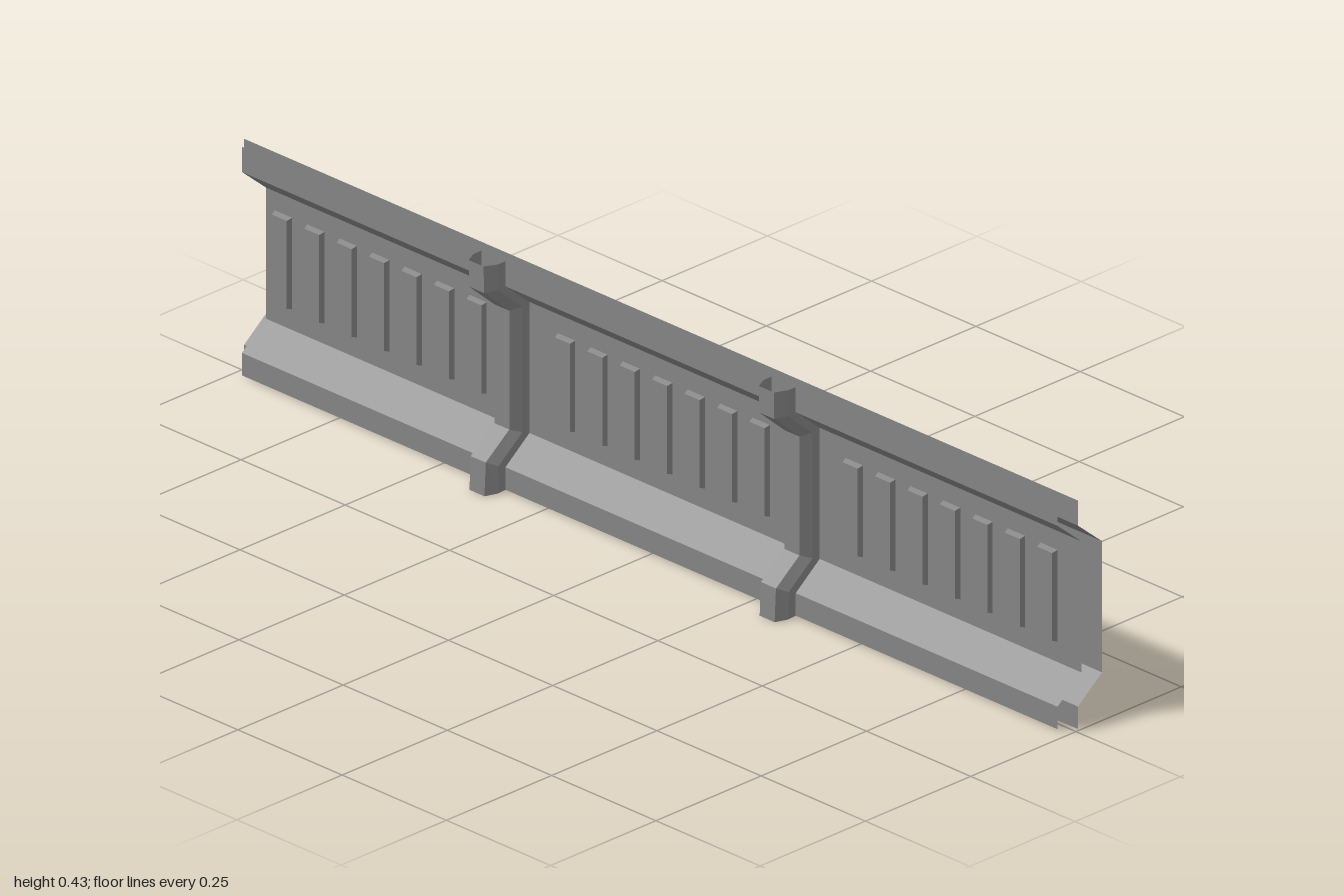
import * as THREE from 'three';

const grey = new THREE.MeshStandardMaterial({ color: 0x868686, flatShading: true, side: THREE.DoubleSide });

// Barrier profile from top to bottom as [y, z]: base face and raised rib face
const base = [[0.43, 0.02], [0.383, 0.02], [0.335, -0.037], [0.09, -0.037], [0.045, 0.02], [0.003, 0.02]];
const crest = [[0.43, 0.061], [0.38, 0.06], [0.327, 0], [0.105, 0], [0.062, 0.056], [0, 0.059]];

const ribCentres = [-0.377, 0.319];
const ribHalf = 0.029;

// Joins open cross-sections (listed left to right, top to bottom) into a surface
function loft(sections) {
  const pos = [];
  const tri = (...pts) => pts.forEach((p) => pos.push(...p));
  for (let i = 0; i < sections.length - 1; i++) {
    const s = sections[i], t = sections[i + 1];
    for (let j = 0; j < s.length - 1; j++) {
      tri(s[j], t[j], t[j + 1]);
      tri(s[j], t[j + 1], s[j + 1]);
    }
  }
  const g = new THREE.BufferGeometry();
  g.setAttribute('position', new THREE.Float32BufferAttribute(pos, 3));
  g.computeVertexNormals();
  return g;
}

// Folded sheet with the barrier profile
function sheet(x0, x1, dz) {
  return loft(base.map(([y, z]) => [[x0, y, z + dz], [x1, y, z + dz]]));
}

// Hollow rib that follows the profile, open at its ends, with chamfered front edges
function rib() {
  const front = 0.018, k = 0.45;
  return loft(base.map(([y, z], i) => {
    const [fy, fz] = crest[i];
    const my = y + (fy - y) * k, mz = z + (fz - z) * k;
    return [[-ribHalf, y, z], [-ribHalf, my, mz], [-front, fy, fz], [front, fy, fz], [ribHalf, my, mz], [ribHalf, y, z]];
  }));
}

// Raised bar whose front face is slightly inset
function bar() {
  const g = new THREE.BoxGeometry(0.042, 0.172, 0.011);
  const p = g.attributes.position;
  for (let i = 0; i < p.count; i++) {
    if (p.getZ(i) > 0) {
      p.setX(i, p.getX(i) - Math.sign(p.getX(i)) * 0.003);
      p.setY(i, p.getY(i) - Math.sign(p.getY(i)) * 0.004);
    }
  }
  g.computeVertexNormals();
  return g;
}

export function createModel() {
  const model = new THREE.Group();
  model.name = 'barrier';
  const add = (name, geometry, parent = model) => {
    const mesh = new THREE.Mesh(geometry, grey);
    mesh.name = name;
    parent.add(mesh);
    return mesh;
  };

  // Full-length sheet at the back
  add('backSheet', sheet(-1, 1, -0.025));

  // Front sheet in three panels that meet the rib sides
  const [ribA, ribB] = ribCentres;
  [[-0.98, ribA - ribHalf], [ribA + ribHalf, ribB - ribHalf], [ribB + ribHalf, 0.976]].forEach(([x0, x1]) => {
    add('frontPanel', sheet(x0, x1, 0));
  });

  // Vertical ribs
  const ribGeometry = rib();
  ribCentres.forEach((x) => {
    add('rib', ribGeometry).position.x = x;
  });

  // Three bays of seven raised bars
  const barGeometry = bar();
  [-0.938, -0.259, 0.431].forEach((start) => {
    const bay = new THREE.Group();
    bay.name = 'barBay';
    model.add(bay);
    for (let i = 0; i < 7; i++) {
      add('raisedBar', barGeometry, bay).position.set(start + i * 0.0778, 0.214, -0.0325);
    }
  });

  return model;
}
